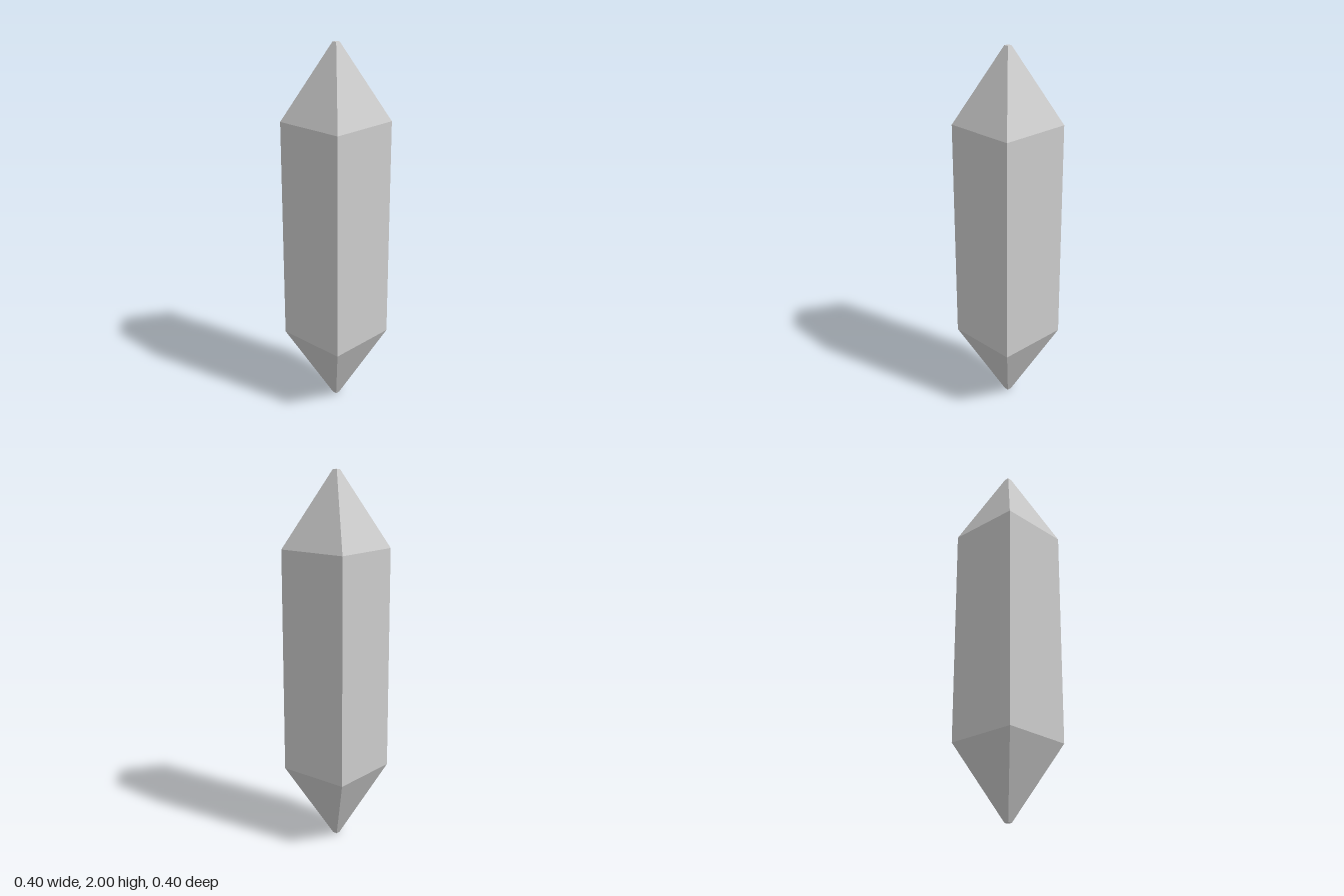
import * as THREE from 'three';

const HALF = 0.2;      // half width of the shaft
const TIP = 0.0125;    // half width of the blunt tips

// Square section tapering from half width a at y0 to half width b at y1, sides facing the axes
function squareSection(name, a, b, y0, y1, material) {
  const geometry = new THREE.CylinderGeometry(b * Math.SQRT2, a * Math.SQRT2, y1 - y0, 4, 1, true)
    .rotateY(Math.PI / 4)
    .translate(0, (y0 + y1) / 2, 0)
    .toNonIndexed();
  geometry.computeVertexNormals();
  const mesh = new THREE.Mesh(geometry, material);
  mesh.name = name;
  return mesh;
}

// Small flat square closing a tip; dir is 1 for up, -1 for down
function tipFace(name, y, dir, material) {
  const geometry = new THREE.PlaneGeometry(TIP * 2, TIP * 2).rotateX(-dir * Math.PI / 2);
  const mesh = new THREE.Mesh(geometry, material);
  mesh.name = name;
  mesh.position.y = y;
  return mesh;
}

export function createModel() {
  const material = new THREE.MeshStandardMaterial({ color: 0xcccccc, flatShading: true });
  const crystal = new THREE.Group();
  crystal.name = 'crystal';
  crystal.add(
    // straight shaft
    squareSection('shaft', HALF, HALF, 0.4, 1.6, material),
    // tapered points above and below
    squareSection('upperPoint', HALF, TIP, 1.6, 2, material),
    squareSection('lowerPoint', TIP, HALF, 0, 0.4, material),
    // blunt ends
    tipFace('upperTip', 2, 1, material),
    tipFace('lowerTip', 0, -1, material),
  );
  return crystal;
}
